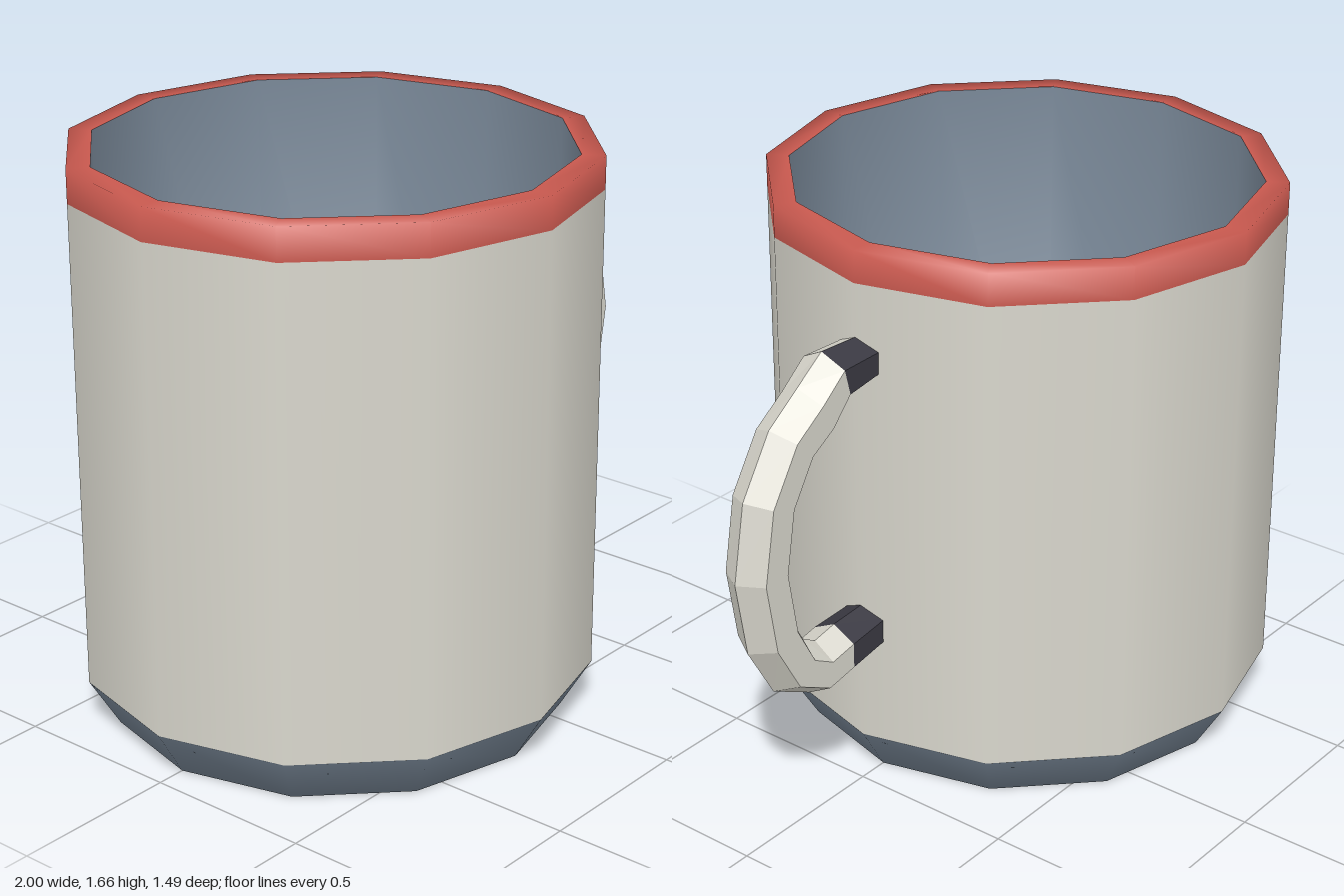
import * as THREE from 'three';

const mat = (name, color, extra = {}) => {
  const m = new THREE.MeshStandardMaterial({ color, ...extra });
  m.name = name;
  return m;
};

export function createModel() {
  const cream = mat('cream', 0xd9d7cd);
  const creamFaceted = cream.clone();
  creamFaceted.flatShading = true;
  const red = mat('red', 0xc9594f);
  const slate = mat('slate blue', 0x7a8999);
  const dark = mat('charcoal', 0x3b3a43, { flatShading: true });

  const group = new THREE.Group();
  group.name = 'mug';
  const cupX = -0.253, R = 0.747, inner = 0.68;

  // Twelve-sided cup, one lathe per coloured zone
  const lathe = (name, profile, material) => {
    const pts = profile.map(([r, y]) => new THREE.Vector2(r, y));
    const mesh = new THREE.Mesh(new THREE.LatheGeometry(pts, 12), material);
    mesh.name = name;
    mesh.position.x = cupX;
    group.add(mesh);
  };
  lathe('base', [[0, 0], [0.66, 0], [R, 0.145]], slate);
  lathe('body', [[R, 0.145], [R, 1.57]], cream);
  lathe('rim', [[R, 1.57], [R, 1.665], [inner, 1.665]], red);
  lathe('interior', [[inner, 1.665], [0.665, 0.12], [0, 0.12]], slate);

  // Handle: hexagonal rings given by their outer and inner points in x, y
  const rings = [
    [0.46, 1.41, 0.46, 1.285], [0.63, 1.42, 0.59, 1.265],
    [0.73, 1.35, 0.65, 1.19], [0.845, 1.27, 0.725, 1.15],
    [0.955, 1.10, 0.795, 1.04], [0.998, 0.87, 0.825, 0.87],
    [0.96, 0.64, 0.795, 0.69], [0.865, 0.475, 0.74, 0.585],
    [0.72, 0.40, 0.69, 0.555], [0.61, 0.42, 0.61, 0.57],
    [0.46, 0.44, 0.46, 0.58],
  ];
  const last = rings.length - 1;
  const hex = rings.map(([ox, oy, ix, iy], i) => {
    const w = i === 0 || i === last ? 0.066 : 0.073;
    const at = (t, z) => [ox + (ix - ox) * t, oy + (iy - oy) * t, z];
    return [at(0, 0), at(0.25, w), at(0.75, w), at(1, 0), at(0.75, -w), at(0.25, -w)];
  });
  // The two end sections are dark except for their outer front face
  const lightPos = [], darkPos = [];
  for (let i = 0; i < last; i++) {
    for (let k = 0; k < 6; k++) {
      const n = (k + 1) % 6;
      const a = hex[i][k], b = hex[i][n], c = hex[i + 1][n], d = hex[i + 1][k];
      const isDark = (i === 0 || i === last - 1) && k !== 0;
      (isDark ? darkPos : lightPos).push(...a, ...b, ...c, ...a, ...c, ...d);
    }
  }
  const addFaces = (name, pos, material) => {
    const g = new THREE.BufferGeometry();
    g.setAttribute('position', new THREE.Float32BufferAttribute(pos, 3));
    g.computeVertexNormals();
    const mesh = new THREE.Mesh(g, material);
    mesh.name = name;
    group.add(mesh);
  };
  addFaces('handle', lightPos, creamFaceted);
  addFaces('handleMounts', darkPos, dark);

  return group;
}
